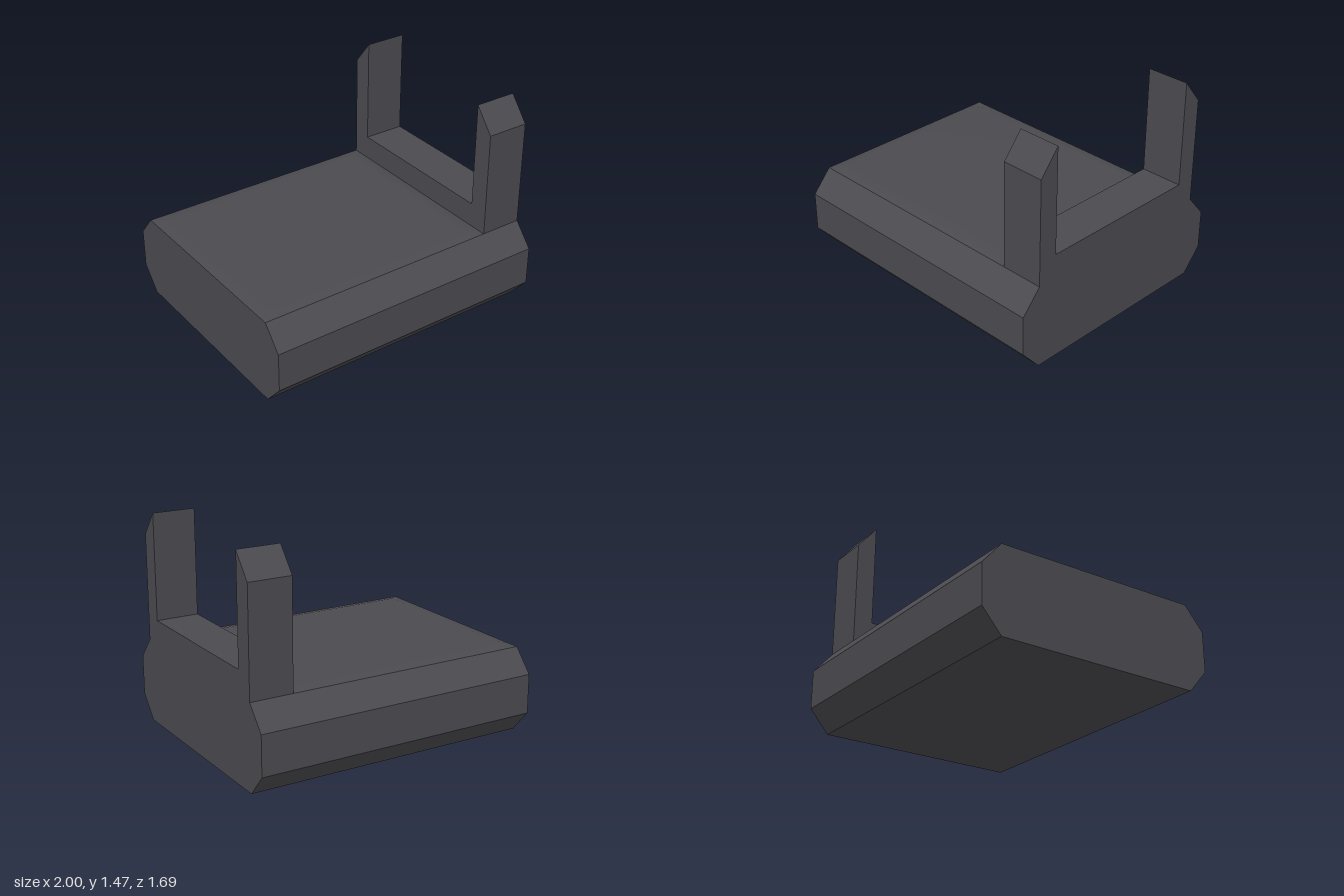
import * as THREE from 'three';

const CUT = 0.705; // x where the deck meets the raised end

// Extrudes a profile of [z, y] points along x
function extrudeAlongX(points, x0, x1) {
  const shape = new THREE.Shape(points.map(([z, y]) => new THREE.Vector2(-z, y)));
  const geometry = new THREE.ExtrudeGeometry(shape, { depth: x1 - x0, bevelEnabled: false });
  geometry.rotateY(Math.PI / 2);
  geometry.translate(x0, 0, 0);
  return geometry;
}

// Completes a half profile by mirroring it across z = 0
function mirrored(half) {
  return [...half, ...half.map(([z, y]) => [-z, y]).reverse()];
}

export function createModel() {
  const model = new THREE.Group();
  model.name = 'model';
  const charcoal = new THREE.MeshStandardMaterial({ color: 0x4b4a4f });
  charcoal.name = 'charcoal';

  const add = (name, geometry) => {
    const mesh = new THREE.Mesh(geometry, charcoal);
    mesh.name = name;
    model.add(mesh);
  };

  // Lower half profile shared by the deck and the raised end
  const side = [[0.71, 0], [0.845, 0.155], [0.845, 0.425], [0.71, 0.58]];

  // Chamfered deck
  add('deck', extrudeAlongX(mirrored(side), -1, CUT));

  // Raised end with two upright posts and a low wall between them
  const post = [[0.71, 1.305], [0.575, 1.47], [0.575, 0.745]];
  add('raisedEnd', extrudeAlongX(mirrored([...side, ...post]), CUT, 1));

  // Slightly raised deck surface sloping down to its rim
  const xs = [-1, -0.9, 0.6, CUT];
  const zs = [-0.71, -0.61, 0.61, 0.71];
  const surface = new THREE.PlaneGeometry(1, 1, 3, 3);
  const position = surface.attributes.position;
  for (let i = 0; i < position.count; i++) {
    const column = i % 4;
    const row = Math.floor(i / 4);
    const inner = column % 3 !== 0 && row % 3 !== 0;
    position.setXYZ(i, xs[column], inner ? 0.604 : 0.58, zs[row]);
  }
  surface.computeVertexNormals();
  add('deckSurface', surface);

  return model;
}
